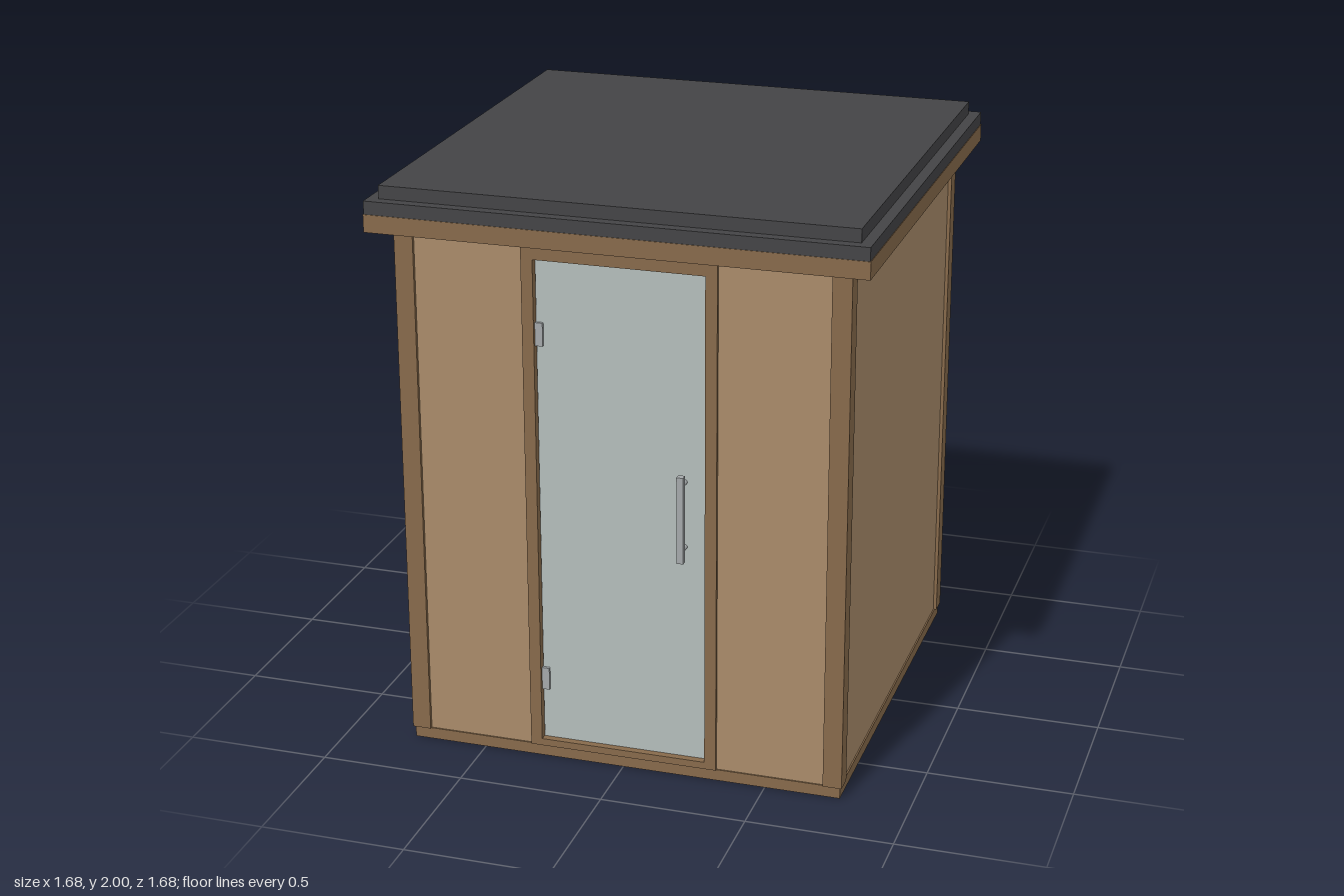
import * as THREE from 'three';

const mat = (color) => new THREE.MeshStandardMaterial({ color });

export function createModel() {
  const group = new THREE.Group();
  const wood = mat(0xa98b6a), trim = mat(0x876a4b), roofing = mat(0x444446);
  const glass = mat(0xb4bdbb), metal = mat(0xa4a8aa);

  // Box given by its extents along each axis
  const box = (name, material, [x0, x1], [y0, y1], [z0, z1]) => {
    const mesh = new THREE.Mesh(new THREE.BoxGeometry(x1 - x0, y1 - y0, z1 - z0), material);
    mesh.position.set((x0 + x1) / 2, (y0 + y1) / 2, (z0 + z1) / 2);
    mesh.name = name;
    group.add(mesh);
    return mesh;
  };
  // Flat outline with a rectangular hole
  const framed = (w0, w1, h0, h1, a0, a1, b0, b1, depth) => {
    const s = new THREE.Shape([[w0, h0], [w1, h0], [w1, h1], [w0, h1]].map((p) => new THREE.Vector2(...p)));
    s.holes.push(new THREE.Path([[a0, b0], [a0, b1], [a1, b1], [a1, b0]].map((p) => new THREE.Vector2(...p))));
    return new THREE.ExtrudeGeometry(s, { depth, bevelEnabled: false });
  };
  const add = (name, geometry, material) => {
    const mesh = new THREE.Mesh(geometry, material);
    mesh.name = name;
    group.add(mesh);
    return mesh;
  };

  // Floor and walls
  const W = 0.755, T = 0.05, top = 1.91;
  box('floor', trim, [-0.76, 0.76], [0, 0.04], [-0.76, 0.76]);
  box('backWall', wood, [-W, W], [0.04, top], [-W, -W + T]);
  box('rightWall', wood, [-W, -W + T], [0.04, top], [-W + T, W - T]);
  box('leftWall', wood, [W - T, W], [0.04, top], [-W + T, W - T]);
  add('frontWall', framed(-W, W, 0.04, top, -0.31, 0.31, 0.05, 1.81, T), wood).position.z = W - T;

  // Corner posts
  for (const sx of [-1, 1]) for (const sz of [-1, 1]) {
    const post = box('cornerPost', trim, [-0.0325, 0.0325], [0.04, top], [-0.0325, 0.0325]);
    post.position.x = sx * 0.7345;
    post.position.z = sz * 0.7345;
  }

  // Door frame, glass door, hinges
  add('doorFrame', framed(-0.33, 0.33, 0.04, 1.83, -0.29, 0.29, 0.065, 1.787, 0.066), trim).position.z = 0.701;
  box('glassDoor', glass, [-0.288, 0.288], [0.067, 1.785], [0.73, 0.745]);
  for (const y of [0.29, 1.53]) box('hinge', metal, [-0.29, -0.264], [y - 0.04, y + 0.04], [0.725, 0.755]);

  // Pull handle on two standoffs
  box('handleBar', metal, [0.205, 0.228], [0.803, 1.107], [0.782, 0.805]);
  for (const y of [0.84, 1.07]) {
    const standoff = add('handleStandoff', new THREE.CylinderGeometry(0.008, 0.008, 0.045, 16), metal);
    standoff.rotation.x = Math.PI / 2;
    standoff.position.set(0.2165, y, 0.764);
  }

  // Fascia ring below a two-step flat roof
  const fascia = add('fascia', framed(-0.84, 0.84, -0.84, 0.84, -0.81, 0.81, -0.81, 0.81, 0.06), trim);
  fascia.rotation.x = -Math.PI / 2;
  fascia.position.y = 1.85;
  box('roofSlab', roofing, [-0.838, 0.838], [1.91, 1.955], [-0.838, 0.838]);
  box('roofCap', roofing, [-0.8, 0.8], [1.955, 2], [-0.8, 0.8]);

  return group;
}
